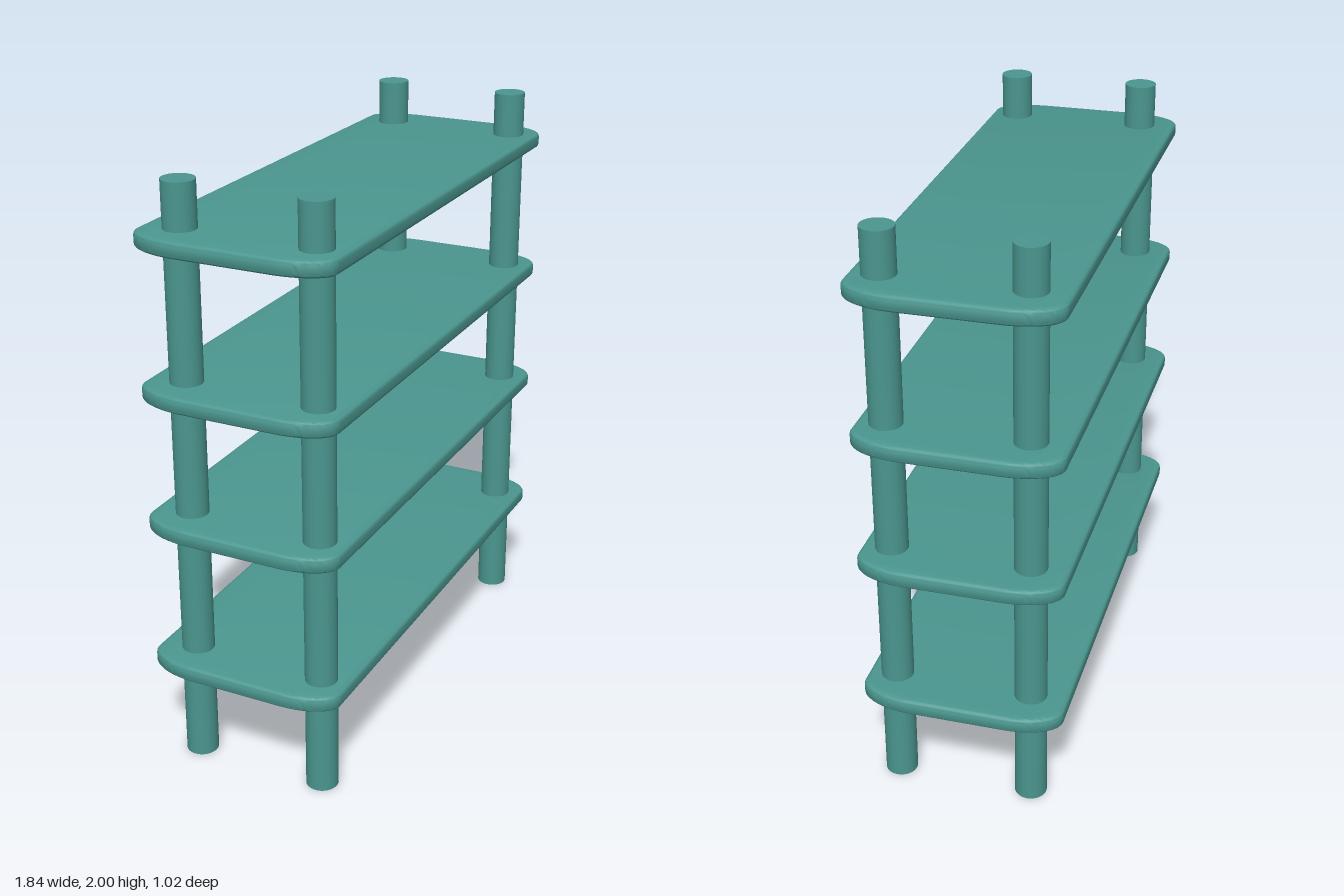
import * as THREE from 'three';
import { toCreasedNormals } from 'three/addons/utils/BufferGeometryUtils.js';

const YAW = 0.2194;      // whole rack is turned about the vertical axis
const BEVEL = 0.015;
const THICK = 0.054;

// Board outline: long rectangle with elliptical corners
function boardShape(halfX, halfZ, rx, rz) {
  const shape = new THREE.Shape();
  const cx = halfX - rx, cz = halfZ - rz;
  const corners = [[1, 1], [-1, 1], [-1, -1], [1, -1]];
  corners.forEach(([sx, sz], i) => {
    const start = i * Math.PI / 2;
    shape.absellipse(sx * cx, sz * cz, rx, rz, start, start + Math.PI / 2, false, 0);
  });
  return shape;
}

export function createModel() {
  const rack = new THREE.Group();
  rack.name = 'shelfRack';
  const teal = new THREE.MeshStandardMaterial({ color: 0x4b968f });
  teal.name = 'teal';

  // Four shelves with softly rounded rims
  let board = new THREE.ExtrudeGeometry(boardShape(0.9, 0.34, 0.09, 0.18), {
    depth: THICK - 2 * BEVEL,
    curveSegments: 12,
    bevelEnabled: true,
    bevelThickness: BEVEL,
    bevelSize: BEVEL,
    bevelOffset: -BEVEL,
    bevelSegments: 4,
  });
  board.translate(0, 0, -(THICK / 2 - BEVEL));
  board.rotateX(-Math.PI / 2);
  board = toCreasedNormals(board, 0.7);
  [0.373, 0.873, 1.325, 1.82].forEach((y, i) => {
    const shelf = new THREE.Mesh(board, teal);
    shelf.name = `shelf${i + 1}`;
    shelf.position.y = y;
    shelf.rotation.y = YAW;
    rack.add(shelf);
  });

  // Four round posts, set slightly forward of the shelf centre
  const posts = new THREE.Group();
  posts.name = 'posts';
  posts.position.z = 0.015;
  posts.rotation.y = YAW;
  const postGeometry = new THREE.CylinderGeometry(0.054, 0.054, 2, 32);
  for (const sx of [-1, 1]) {
    for (const sz of [-1, 1]) {
      const post = new THREE.Mesh(postGeometry, teal);
      post.name = `${sz > 0 ? 'front' : 'back'}${sx > 0 ? 'Left' : 'Right'}Post`;
      post.position.set(sx * 0.758, 1, sz * 0.23);
      posts.add(post);
    }
  }
  rack.add(posts);
  return rack;
}
